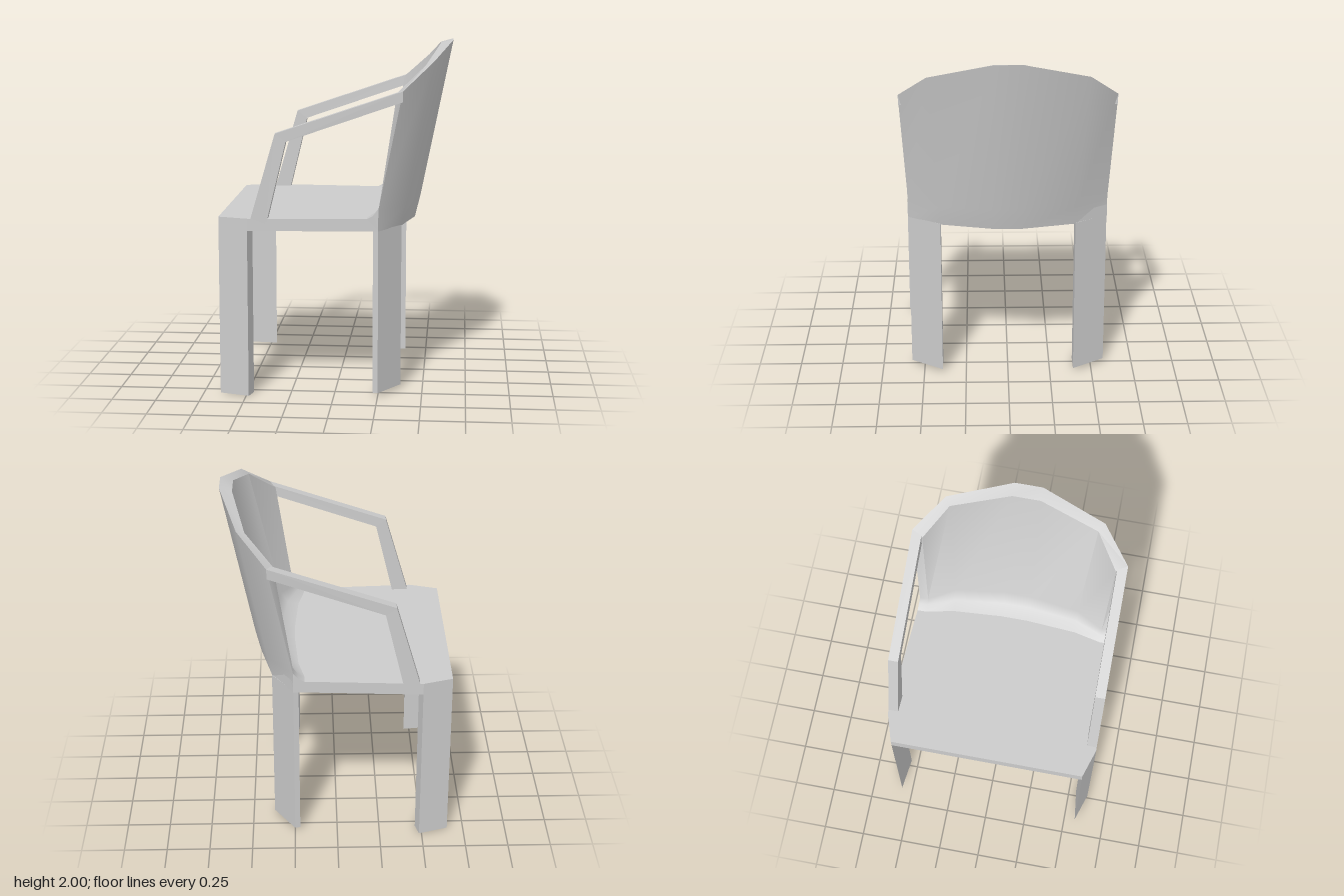
import * as THREE from 'three';
import { toCreasedNormals } from 'three/addons/utils/BufferGeometryUtils.js';

const material = new THREE.MeshStandardMaterial({ color: 0xcccccc });

function part(name, geometry) {
  const mesh = new THREE.Mesh(geometry, material);
  mesh.name = name;
  return mesh;
}

// Upright prism from a plan outline of [x, z] points
function prism(plan, y0, y1) {
  const shape = new THREE.Shape(plan.map(([x, z]) => new THREE.Vector2(x, -z)));
  const g = new THREE.ExtrudeGeometry(shape, { depth: y1 - y0, bevelEnabled: false });
  return g.rotateX(-Math.PI / 2).translate(0, y0, 0);
}

const mirrorZ = (points) => points.map(([x, z]) => [x, -z]);

// Armrest: post and sloping rail cut in side profile, then bent to the side's curve
function armrest(side) {
  const profile = [[-0.475, 1.0], [-0.465, 1.03], [-0.325, 1.51], [0.385, 1.75],
    [0.385, 1.69], [-0.265, 1.465], [-0.37, 1.03], [-0.38, 1.0]];
  const shape = new THREE.Shape(profile.map(([x, y]) => new THREE.Vector2(x, y)));
  const g = new THREE.ExtrudeGeometry(shape, { depth: 1, bevelEnabled: false });
  const p = g.attributes.position;
  for (let i = 0; i < p.count; i++) {
    const x = p.getX(i), y = p.getY(i);
    const t = THREE.MathUtils.clamp((x + 0.485) / 0.87, 0, 1);
    const outer = 0.622 - 0.007 * t - 0.035 * t * Math.max(0, (1.75 - y) / 0.75);
    const isOuter = (p.getZ(i) > 0.5) === (side > 0);
    p.setZ(i, side * (isOuter ? outer : outer - 0.057));
  }
  g.computeVertexNormals();
  return g;
}

// Curved backrest: each section runs up the outside, over the rim and down into the seat
function backrest() {
  const half = [
    // side edge
    [[0.25, 0.96, 0.58], [0.25, 1.08, 0.58], [0.385, 1.75, 0.615], [0.385, 1.75, 0.615],
      [0.25, 1.08, 0.58], [0.222, 1.05, 0.582], [0.185, 1.03, 0.584]],
    // side
    [[0.25, 0.96, 0.58], [0.25, 1.08, 0.58], [0.385, 1.75, 0.615], [0.35, 1.735, 0.552],
      [0.25, 1.08, 0.53], [0.222, 1.05, 0.53], [0.185, 1.03, 0.53]],
    // shoulder
    [[0.37, 0.96, 0.39], [0.395, 1.08, 0.395], [0.55, 1.9, 0.45], [0.505, 1.88, 0.42],
      [0.325, 1.11, 0.37], [0.285, 1.05, 0.37], [0.22, 1.03, 0.37]],
    // centre
    [[0.44, 0.96, 0.085], [0.472, 1.09, 0.085], [0.655, 2.0, 0.08], [0.582, 1.98, 0.08],
      [0.36, 1.12, 0.08], [0.315, 1.055, 0.08], [0.24, 1.03, 0.08]],
  ];
  const mirrored = half.map((s) => s.map(([x, y, z]) => [x, y, -z])).reverse();
  const sections = [...half, ...mirrored];
  const rows = half[0].length;
  const index = [];
  for (let k = 0; k < sections.length - 1; k++) {
    for (let j = 0; j < rows - 1; j++) {
      const a = k * rows + j, b = a + rows;
      index.push(a, b, b + 1, a, b + 1, a + 1);
    }
  }
  // Small gussets closing both ends above the seat
  const e = (sections.length - 1) * rows;
  index.push(0, 4, 5, 0, 5, 6, e, e + 5, e + 4, e, e + 6, e + 5);

  const g = new THREE.BufferGeometry();
  g.setAttribute('position', new THREE.Float32BufferAttribute(sections.flat(2), 3));
  g.setIndex(index);
  return toCreasedNormals(g, 0.75);
}

export function createModel() {
  const chair = new THREE.Group();
  chair.name = 'armchair';

  // Seat slab with a faceted rear outline
  const rim = [[-0.655, 0.568], [-0.485, 0.622], [0.25, 0.58], [0.37, 0.39], [0.44, 0.085]];
  const seatPlan = [...rim, ...mirrorZ(rim).reverse()];
  chair.add(part('seat', prism(seatPlan, 0.96, 1.03)));
  chair.add(part('backrest', backrest()));

  // Wedge-shaped legs and armrests on both sides
  const frontPlan = [[-0.655, 0.568], [-0.485, 0.622], [-0.465, 0.545]];
  const rearPlan = [[0.25, 0.578], [0.373, 0.39], [0.245, 0.39], [0.22, 0.57]];
  for (const side of [1, -1]) {
    const place = (plan) => (side > 0 ? plan : mirrorZ(plan));
    chair.add(part('frontLeg', prism(place(frontPlan), 0, 0.965)));
    chair.add(part('rearLeg', prism(place(rearPlan), 0.02, 0.965)));
    chair.add(part('armrest', armrest(side)));
  }
  return chair;
}
